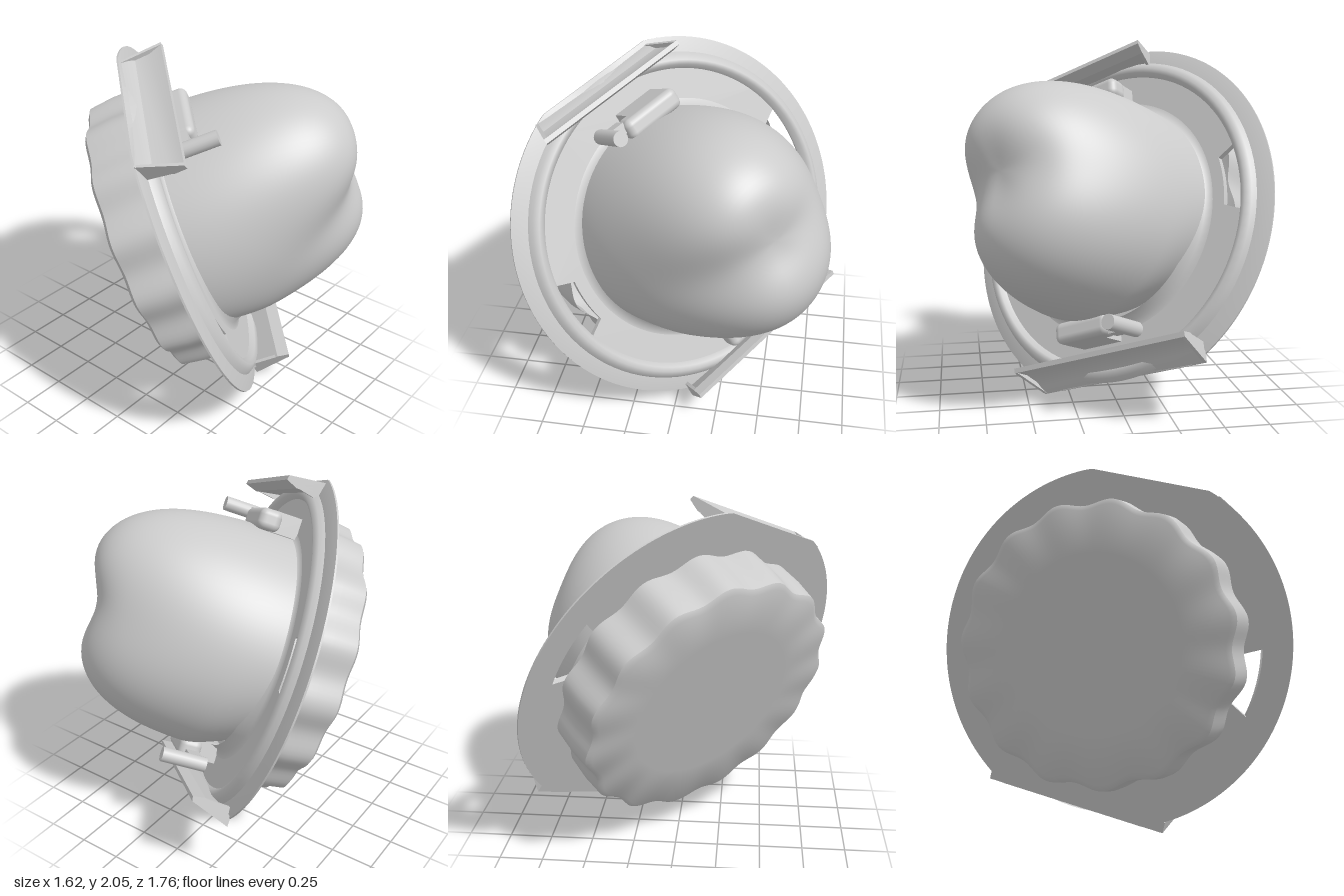
import * as THREE from 'three';
import { mergeVertices, toCreasedNormals } from 'three/addons/utils/BufferGeometryUtils.js';
import { RoundedBoxGeometry } from 'three/addons/geometries/RoundedBoxGeometry.js';

const grey = new THREE.MeshStandardMaterial({ color: 0xcccccc, side: THREE.DoubleSide });

function part(name, geometry, parent) {
  const mesh = new THREE.Mesh(geometry, grey);
  mesh.name = name;
  parent.add(mesh);
  return mesh;
}

// Lathe whose axis is local z: points are [radius, z]
function turned(points, segments = 96) {
  return new THREE.LatheGeometry(points.map(p => new THREE.Vector2(...p)), segments).rotateX(Math.PI / 2);
}

function reshape(g, rule) {
  const p = g.attributes.position, v = new THREE.Vector3();
  for (let i = 0; i < p.count; i++) {
    rule(v.fromBufferAttribute(p, i));
    p.setXYZ(i, v.x, v.y, v.z);
  }
  return g;
}

// Two-lobed dome: squarer across y, rounder across x, with a groove along x
function domeGeometry() {
  const { smoothstep } = THREE.MathUtils;
  let g = new THREE.SphereGeometry(1, 96, 48, 0, Math.PI * 2, 0, Math.PI / 2).rotateX(Math.PI / 2);
  reshape(g, v => {
    const s = Math.hypot(v.x, v.y), c = s > 1e-6 ? (v.y / s) ** 2 : 0.5;
    const k = 2.05 + 0.95 * c - 0.4 * smoothstep(-v.x, 0, 0.8);
    const height = 1.045 + 0.035 * Math.tanh(v.y / 0.2);
    const w = Math.max(v.z, 0);
    v.multiplyScalar(Math.pow(Math.pow(s / 0.66, k) + Math.pow(w / height, k), -1 / k));
    // narrower toward the foot on the lower side
    if (v.y < 0) v.y *= 1 - 0.13 * (1 - smoothstep(v.z, -0.05, 0.3));
    // the groove fades out toward +x
    const depth = 0.085 * smoothstep(v.z, 0.4, 0.95) * (1 - smoothstep(v.x, -0.05, 0.4));
    v.z -= depth * Math.exp(-(((v.y + 0.03) / 0.2) ** 2));
  });
  g.deleteAttribute('uv');
  g.deleteAttribute('normal');
  g = mergeVertices(g, 1e-4);
  g.computeVertexNormals();
  return g;
}

// Scalloped cap, open toward the flange
function capGeometry() {
  const g = turned([[0, -0.31], [0.5, -0.31], [0.755, -0.31], [0.785, -0.29], [0.8, -0.15], [0.8, 0]], 180);
  reshape(g, v => {
    if (Math.hypot(v.x, v.y) < 0.6) return;
    const f = 1 - 0.024 * Math.cos(15 * Math.atan2(v.y, v.x));
    v.x *= f;
    v.y *= f;
  });
  return toCreasedNormals(g, 0.7);
}

// Thin outer rim, cut straight under the two rails
function rimGeometry() {
  const g = turned([[0.9, -0.005], [1.05, -0.005], [1.05, 0.005], [0.94, 0.035], [0.9, 0.035]], 144);
  reshape(g, v => { v.y = THREE.MathUtils.clamp(v.y, -0.95, 0.985); });
  return toCreasedNormals(g, 0.5);
}

// Inner floor of the flange with a curved slot on each side
function floorGeometry() {
  const shape = new THREE.Shape().absarc(0, 0, 0.93, 0, Math.PI * 2);
  shape.holes.push(new THREE.Path().absarc(0, 0, 0.6, 0, Math.PI * 2, true));
  for (const a of [0, Math.PI]) {
    const slot = new THREE.Path();
    slot.absarc(0, 0, 0.885, a - 0.22, a + 0.22, false);
    slot.absarc(0, 0, 0.77, a + 0.18, a - 0.18, true);
    slot.closePath();
    shape.holes.push(slot);
  }
  return new THREE.ExtrudeGeometry(shape, { depth: 0.035, bevelEnabled: false, curveSegments: 64 });
}

// Cross-section in (y, z) swept along x from x0 to x1
function swept(section, x0, x1) {
  const shape = new THREE.Shape(section.map(p => new THREE.Vector2(...p)));
  const g = new THREE.ExtrudeGeometry(shape, { depth: x1 - x0, bevelEnabled: false });
  return g.applyMatrix4(new THREE.Matrix4().set(0, 0, 1, x0, 1, 0, 0, 0, 0, 1, 0, 0, 0, 0, 0, 1));
}

// root: y of the rail's foot; lean: how far its top tips inward; taper: narrowing at the foot
function clip(x0, x1, root, lean, taper) {
  const g = new THREE.Group();
  g.name = 'clip';
  const tilt = v => {
    const h = v.z / 0.24, mid = (x0 + x1) / 2;
    v.y += root - lean * h;
    v.x = mid + (v.x - mid) * (1 - taper * (1 - h));
  };
  // upright rail with folded wings at its ends
  const rail = [[0, 0], [-0.01, 0.05], [-0.025, 0.08], [-0.025, 0.16], [0, 0.235],
    [-0.025, 0.24], [-0.06, 0.17], [-0.06, 0.07], [-0.06, 0]];
  const wing = [[0, 0.01], [0, 0.235], [-0.05, 0.19], [-0.1, 0.02]];
  const addSwept = (name, section, a, b) => {
    part(name, toCreasedNormals(reshape(swept(section, a, b), tilt), 0.4), g);
  };
  addSwept('clipRail', rail, x0, x1);
  for (const x of [x0, x1 - 0.02]) addSwept('clipWing', wing, x, x + 0.02);
  // latch block with a standing peg beside the dome
  part('latchFoot', new THREE.BoxGeometry(0.26, 0.12, 0.2), g).position.set(0.1, 0.69, 0.1);
  part('latchBlock', new RoundedBoxGeometry(0.36, 0.12, 0.13, 3, 0.04), g).position.set(0.08, 0.69, 0.21);
  part('pegArm', new THREE.BoxGeometry(0.12, 0.06, 0.08), g).position.set(-0.15, 0.72, 0.2);
  const peg = new THREE.CylinderGeometry(0.042, 0.042, 0.26, 18).rotateX(Math.PI / 2);
  part('peg', peg, g).position.set(-0.2, 0.73, 0.26);
  return g;
}

export function createModel() {
  const model = new THREE.Group();
  model.name = 'domedLamp';
  const body = new THREE.Group();
  body.name = 'tiltedBody';
  model.add(body);

  part('dome', domeGeometry(), body);
  part('scallopedCap', capGeometry(), body);
  part('flangeFloor', floorGeometry(), body);
  part('flangeRim', rimGeometry(), body);
  part('flangeRidge', turned([[0.965, 0.025], [0.945, 0.055], [0.915, 0.075], [0.89, 0.065], [0.87, 0.035]]), body);
  part('domeCollar', turned([[0.7, 0.035], [0.66, 0.045], [0.635, 0.1]]), body);

  // upper clip, and a longer one turned half round below
  body.add(clip(-0.5, 0.43, 0.965, 0.035, 0.15));
  const lower = clip(-0.56, 0.59, 0.95, 0.1, 0.04);
  lower.rotation.z = Math.PI;
  body.add(lower);

  // tilt the axis toward the back, up and to the left
  const axis = new THREE.Vector3(0.71, 0.37, -0.6).normalize();
  const up = new THREE.Vector3(-0.025, 0.86, 0.5);
  const across = new THREE.Vector3().crossVectors(up, axis).normalize();
  up.crossVectors(axis, across);
  body.quaternion.setFromRotationMatrix(new THREE.Matrix4().makeBasis(across, up, axis));
  body.position.set(-0.03, 0.975, 0.03);
  return model;
}
